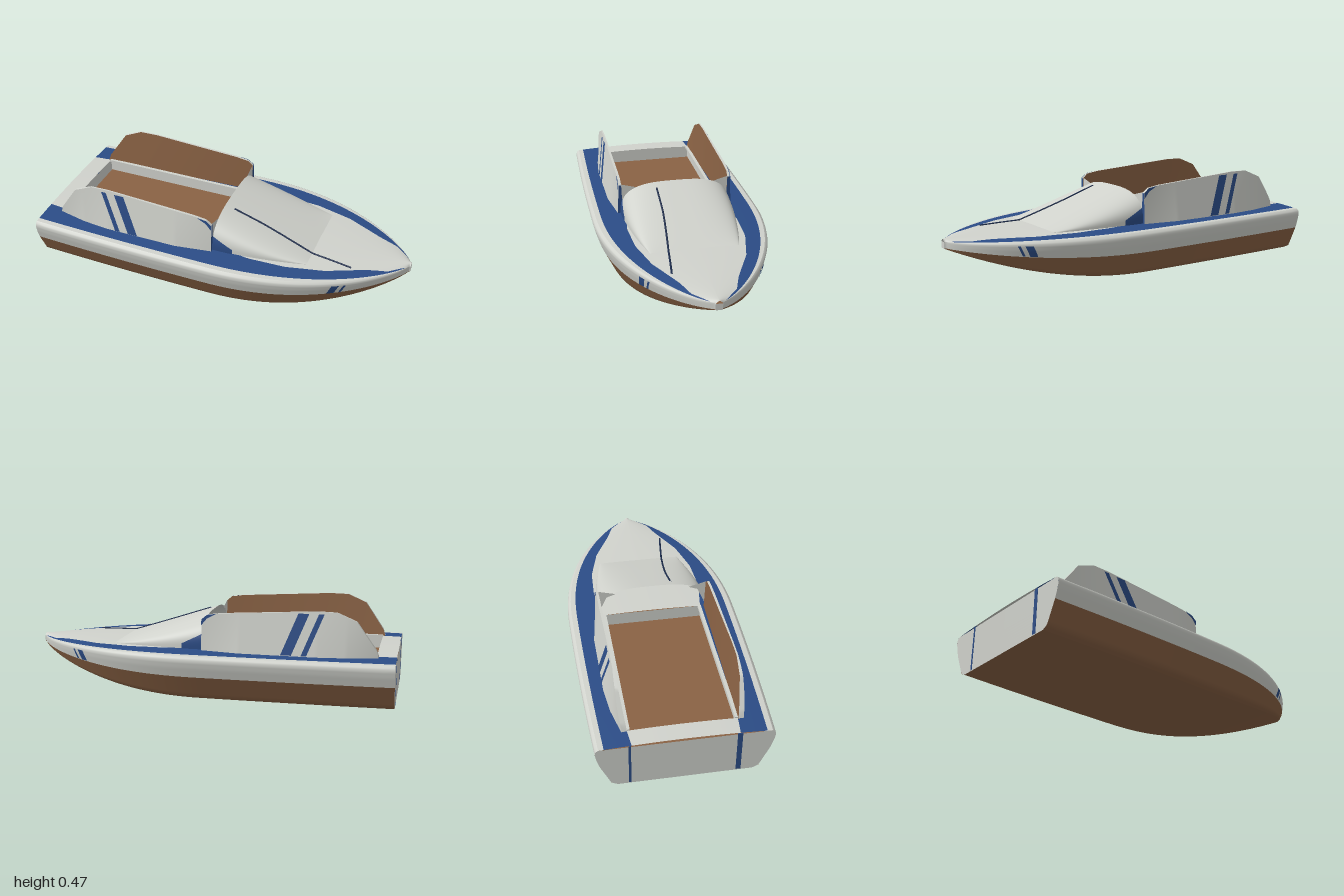
import * as THREE from 'three';

const mat = (name, color) => {
  const m = new THREE.MeshStandardMaterial({ color, side: THREE.DoubleSide });
  m.name = name;
  return m;
};
const lerp = THREE.MathUtils.lerp;

// Piecewise linear lookup: pts = [[key, value], ...]
function table(pts, k) {
  for (let i = 1; i < pts.length; i++) {
    const [a, va] = pts[i - 1], [b, vb] = pts[i];
    if (k <= b) return lerp(va, vb, Math.max(0, (k - a) / (b - a)));
  }
  return pts[pts.length - 1][1];
}

// Surface patch from a rule f(u, v) -> [x, y, z]
function patch(nu, nv, f) {
  const pos = [], idx = [];
  for (let i = 0; i <= nu; i++)
    for (let j = 0; j <= nv; j++) pos.push(...f(i / nu, j / nv));
  for (let i = 0; i < nu; i++)
    for (let j = 0; j < nv; j++) {
      const a = i * (nv + 1) + j, b = a + nv + 1;
      idx.push(a, b, a + 1, b, b + 1, a + 1);
    }
  const g = new THREE.BufferGeometry();
  g.setAttribute('position', new THREE.Float32BufferAttribute(pos, 3));
  g.setIndex(idx);
  g.computeVertexNormals();
  return g;
}

// Hull lines: half beam, rim, paint line and keel height along x
const beam = x => x < 0 ? 0.46 - 0.025 * x * x
  : Math.max(0.018, 0.46 * Math.pow(Math.max(0, 1 - Math.pow(x, 2.2)), 0.77));
const fore = x => Math.max(0, x);
const rim = x => 0.24 - 0.022 * fore(x) ** 2;
const paintLine = x => 0.13 + 0.058 * fore(x) ** 2.2;
const keel = x => 0.185 * fore(x) ** 2.1;
const deckY = (x, z) => rim(x) + 0.015 * (1 - (z / beam(x)) ** 2);
const station = u => -1 + 2 * (1 - (1 - u) ** 1.7);

const sideWidth = [[0, 0.95], [0.45, 0.985], [0.75, 1], [0.92, 0.99], [1, 0.96]];
const side = (x, f, out = 0) =>
  [x, lerp(paintLine(x), rim(x) + 0.0012, f), beam(x) * table(sideWidth, f) + out];
const bilge = (x, f) => {
  const w = table([[0, 0.76], [0.25, 0.83], [1, 0.95]], f);
  const h = table([[0, 0], [0.25, 0.12], [1, 1]], f);
  return [x, lerp(keel(x), paintLine(x), h), beam(x) * w];
};
const blueOut = x => beam(x) * 0.9;
const blueIn = x => Math.min(blueOut(x), table([[-1, 0.26], [-0.9, 0.27], [0, 0.27],
  [0.2, 0.3], [0.4, 0.29], [0.6, 0.24], [0.8, 0.145], [0.9, 0.11], [1, 0.02]], x));

// Cowl over the front of the cockpit; t = 0 at the side, 1 on the centreline
const cowl = (x, t, out = 0) => {
  const k = Math.min(1, x / 0.5), a = t * Math.PI / 2;
  const w = lerp(0.3, 0.23, k * k) + out, h = 0.168 * (1 - k) + 0.004 + out;
  return [x, 0.245 + h * Math.pow(Math.sin(a), 2 / 3),
    w * Math.pow(Math.max(0, Math.cos(a)), 2 / 3)];
};
const cowlTop = (x, z) => {
  const k = x / 0.5, w = lerp(0.3, 0.23, k * k);
  return k >= 1 ? 0 : 0.245 + (0.168 * (1 - k) + 0.004) * Math.cbrt(1 - (z / w) ** 3);
};

// Side screens: leaning outer face, nearly upright inner face
const screenTop = x => table([[-0.91, 0.255], [-0.9, 0.285], [-0.8, 0.43], [-0.7, 0.473],
  [-0.6, 0.475], [-0.1, 0.445], [-0.03, 0.435], [0, 0.41]], x);
const screenFoot = x => table([[-0.91, 0.295], [-0.75, 0.33], [-0.6, 0.345], [-0.2, 0.345], [0, 0.318]], x);
const outer = (x, y, out = 0) => [x, y, lerp(screenFoot(x), 0.306, (y - 0.245) / 0.23) + out];
const inner = (x, y) => [x, y, lerp(table([[-0.91, 0.268], [-0.5, 0.278], [0, 0.29]], x), 0.298, (y - 0.245) / 0.23)];
const screenX = u => -0.91 + 0.91 * u;

export function createModel() {
  const model = new THREE.Group();
  const white = mat('light grey', 0xd0d2cc);
  const blue = mat('deep blue', 0x2b4c86);
  const brown = mat('wood brown', 0x8a6244);
  const navy = mat('dark navy', 0x1c2c4c);

  const add = (name, geo, m) => {
    const mesh = new THREE.Mesh(geo, m);
    mesh.name = name;
    model.add(mesh);
    return mesh;
  };
  const both = (name, geo, m) => {
    add(name + 'Left', geo, m);
    add(name + 'Right', geo, m).scale.z = -1;
  };

  // Hull
  both('bottom', patch(60, 1, (u, v) => {
    const p = bilge(station(u), 0);
    return [p[0], p[1], p[2] * v];
  }), brown);
  both('bilge', patch(60, 8, (u, v) => bilge(station(u), v)), brown);
  both('topside', patch(60, 12, (u, v) => side(station(u), v)), white);
  for (const [name, x] of [['transom', -1], ['nose', 1]])
    both(name, patch(20, 1, (u, v) => {
      const p = u < 0.5 ? bilge(x, u * 2) : side(x, u * 2 - 1);
      return [x, p[1], p[2] * v];
    }), white);
  for (const [z, w] of [[-0.27, 0.012], [0.26, 0.025]]) {
    const s = add('transomStripe', new THREE.BoxGeometry(0.004, 0.24, w), blue);
    s.position.set(-0.999, 0.125, z);
  }
  // Slanted marks near the bow
  for (const [x, w] of [[0.635, 0.035], [0.69, 0.012]])
    both('bowMark', patch(2, 8, (u, v) =>
      side(x + u * w + v * 0.025, lerp(0.05, 0.75, v), 0.004)), blue);

  // Deck in strips
  const strip = (name, x0, x1, za, zb, m) => both(name, patch(60, 6, (u, v) => {
    const x = x1 === 1 ? lerp(x0, 1, 1 - (1 - u) ** 1.7) : lerp(x0, x1, u);
    const z = lerp(za(x), zb(x), v);
    return [x, deckY(x, z), z];
  }), m);
  strip('deckEdge', -1, 1, x => beam(x) * 0.96, blueOut, white);
  strip('deckBand', -1, 1, blueOut, blueIn, blue);
  strip('foredeck', 0, 1, blueIn, () => 0, white);
  strip('sternDeck', -1, -0.9, blueIn, () => 0, white);

  // Cockpit tub
  const floor = add('cockpitFloor', new THREE.BoxGeometry(0.9, 0.01, 0.54), brown);
  floor.position.set(-0.45, 0.175, 0);
  both('cockpitWall', patch(1, 1, (u, v) => [-0.9 * u, lerp(0.17, 0.247, v), 0.27]), white);
  for (const x of [-0.9, 0])
    add('cockpitEnd', patch(1, 1, (u, v) => [x, lerp(0.17, 0.25, v), lerp(-0.27, 0.27, u)]), white);
  const rail = new THREE.BoxGeometry(0.9, 0.012, 0.018);
  rail.translate(-0.45, 0.25, 0.264);
  both('cockpitRail', rail, white);

  // Cowl with painted lower corner
  both('cowl', patch(24, 24, (u, v) => cowl(0.5 * u, v)), white);
  both('cowlCorner', patch(8, 8, (u, v) =>
    cowl(0.11 * u, lerp(0, 0.22 * (1 - 0.7 * u), v), 0.003)), blue);
  both('cowlGusset', patch(1, 1, (u, v) =>
    [-0.002, lerp(lerp(0.25, 0.37, u), lerp(0.415, 0.388, u), v), lerp(lerp(0.305, 0.25, u), lerp(0.298, 0.2, u), v)]), white);

  // Fine line along one side of the foredeck
  const linePath = [];
  for (let i = 0; i <= 24; i++) {
    const x = lerp(0.05, 0.72, i / 24);
    const z = 0.11 + 0.055 * Math.max(0, (x - 0.2) / 0.52) ** 1.3;
    linePath.push(new THREE.Vector3(x, Math.max(deckY(x, z), cowlTop(x, z)) + 0.001, z));
  }
  add('foredeckLine', new THREE.TubeGeometry(new THREE.CatmullRomCurve3(linePath), 60, 0.005, 6), navy);

  // Side screens
  both('screenOuter', patch(91, 8, (u, v) => {
    const x = screenX(u);
    return outer(x, lerp(0.245, screenTop(x), v));
  }), white);
  both('screenInner', patch(91, 8, (u, v) => {
    const x = screenX(u);
    return inner(x, lerp(0.245, screenTop(x), v));
  }), brown);
  both('screenEdge', patch(91, 1, (u, v) => {
    const x = screenX(u), y = screenTop(x);
    return [x, y, lerp(outer(x, y)[2], inner(x, y)[2], v)];
  }), white);
  both('screenFront', patch(6, 1, (u, v) => {
    const y = lerp(0.245, 0.41, u);
    return [0, y, lerp(outer(0, y)[2], inner(0, y)[2], v)];
  }), blue);
  both('screenCorner', patch(8, 2, (u, v) => {
    const x = -0.08 * (1 - u), y = screenTop(x);
    return outer(x, y - 0.03 * u * v, 0.003);
  }), blue);
  for (const [x, w] of [[-0.637, 0.028], [-0.56, 0.055]])
    both('screenStripe', patch(4, 8, (u, v) => {
      const y = lerp(0.462, 0.25, v);
      return outer(x + u * w + 0.085 * v, y, 0.004);
    }), blue);

  return model;
}
